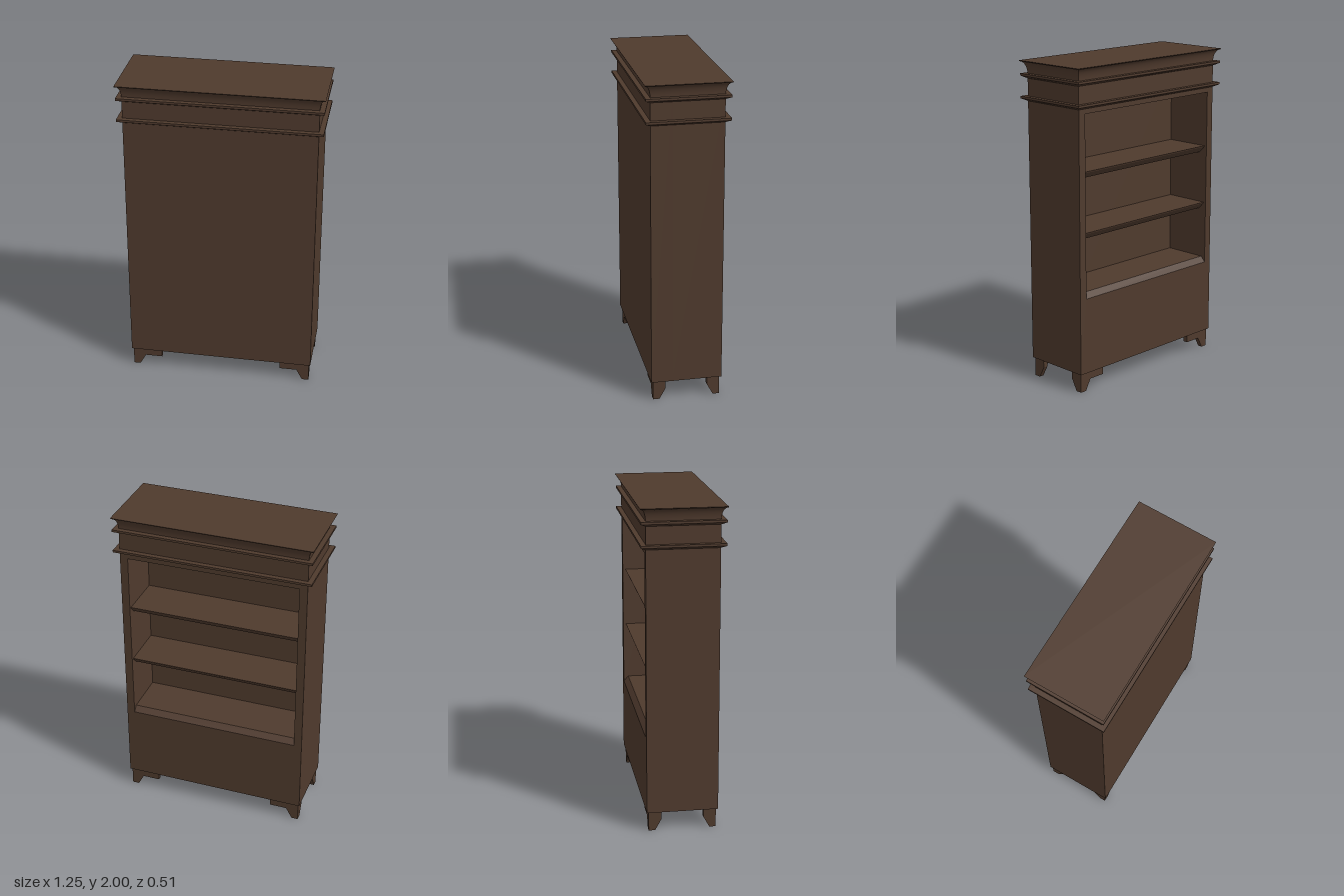
import * as THREE from 'three';
import { toCreasedNormals } from 'three/addons/utils/BufferGeometryUtils.js';

const wood = new THREE.MeshStandardMaterial({ color: 0x4f3a2d });
wood.name = 'dark walnut';

const HX = 0.59, HZ = 0.22;            // half width and half depth of the carcass
const BASE = 0.12, TOP = 1.92;         // carcass bottom and top
const OPEN_X = 0.54, OPEN_Z = 0.09;    // half width of the recess, and its inner wall

function shapeOf(points) {
  return new THREE.Shape(points.map(([x, y]) => new THREE.Vector2(x, y)));
}

// Extrusion centred on its own axis
function slab(shape, depth) {
  return new THREE.ExtrudeGeometry(shape, { depth, bevelEnabled: false }).translate(0, 0, -depth / 2);
}

// Profile given as [z, y], extruded along x
function alongX(points, length) {
  return slab(shapeOf(points), length).rotateY(-Math.PI / 2);
}

// Rectangular moulding: profile of [offset from the carcass, y], bottom to top
function moulding(profile) {
  const pos = [];
  const corner = ([o, y], i) => {
    const [sx, sz] = [[1, 1], [1, -1], [-1, -1], [-1, 1]][i % 4];
    return [sx * (HX + o), y, sz * (HZ + o)];
  };
  const quad = (a, b, c, d) => pos.push(...a, ...b, ...c, ...a, ...c, ...d);
  for (let k = 0; k < profile.length - 1; k++) {
    const p = profile[k], q = profile[k + 1];
    for (let i = 0; i < 4; i++) quad(corner(p, i), corner(p, i + 1), corner(q, i + 1), corner(q, i));
  }
  const first = profile[0], last = profile[profile.length - 1];
  quad(corner(last, 0), corner(last, 1), corner(last, 2), corner(last, 3));
  quad(corner(first, 3), corner(first, 2), corner(first, 1), corner(first, 0));
  const g = new THREE.BufferGeometry();
  g.setAttribute('position', new THREE.Float32BufferAttribute(pos, 3));
  return toCreasedNormals(g, 0.5);
}

export function createModel() {
  const model = new THREE.Group();
  model.name = 'bookcase';
  const add = (name, geometry, parent = model) => {
    const mesh = new THREE.Mesh(geometry, wood);
    mesh.name = name;
    parent.add(mesh);
    return mesh;
  };

  // Carcass frame with the shelf opening towards -z
  const frame = shapeOf([[-HX, BASE], [HX, BASE], [HX, TOP], [-HX, TOP]]);
  frame.holes.push(new THREE.Path([
    [-OPEN_X, 0.595], [-OPEN_X, 1.725], [OPEN_X, 1.725], [OPEN_X, 0.595],
  ].map(([x, y]) => new THREE.Vector2(x, y))));
  add('carcassFrame', slab(frame, HZ + OPEN_Z)).position.z = (OPEN_Z - HZ) / 2;

  // Closed panel behind the shelves
  add('closedPanel', new THREE.BoxGeometry(2 * HX, TOP - BASE, HZ - OPEN_Z))
    .position.set(0, (TOP + BASE) / 2, (HZ + OPEN_Z) / 2);

  // Recess floor with a sloping lip, and two shelves bevelled underneath
  add('recessFloor', alongX([[OPEN_Z, 0.595], [OPEN_Z, 0.63], [-0.19, 0.63], [-HZ, 0.596], [-HZ, 0.595]], 2 * OPEN_X));
  for (const y of [1.0, 1.375]) {
    add('shelf', alongX([
      [OPEN_Z, y], [-0.203, y], [-0.2, y - 0.008], [-0.165, y - 0.045], [OPEN_Z, y - 0.045],
    ], 2 * OPEN_X));
  }

  // Two projecting bands
  for (const y of [1.755, 1.892]) {
    add('bandMoulding', moulding([[0, y], [0.031, y + 0.016], [0.031, y + 0.03], [0, y + 0.03]]));
  }

  // Concave crown, swept as a quarter cove
  const cove = [];
  for (let i = 0; i <= 8; i++) {
    const a = (i / 8) * Math.PI / 2;
    cove.push([0.033 * (1 - Math.cos(a)), 1.92 + 0.074 * Math.sin(a)]);
  }
  cove.push([0.036, 2]);
  add('crown', moulding(cove));

  // Corner bracket feet, each with a long wing and a short side wing
  const T = 0.03, FX = 0.58, FZ = 0.208;
  for (const sx of [-1, 1]) {
    for (const sz of [-1, 1]) {
      const foot = new THREE.Group();
      foot.name = (sz > 0 ? 'front' : 'back') + (sx > 0 ? 'Left' : 'Right') + 'Foot';
      const wide = [[FX, 0], [FX, BASE], [0.39, BASE], [0.39, 0.07], [0.5, 0.07], [0.538, 0]];
      const narrow = [[FZ, 0], [FZ, BASE], [0.13, BASE], [0.13, 0.07], [0.168, 0]];
      add('longWing', slab(shapeOf(wide.map(([x, y]) => [sx * x, y])), T), foot)
        .position.z = sz * (FZ - T / 2);
      add('sideWing', alongX(narrow.map(([z, y]) => [sz * z, y]), T), foot)
        .position.x = sx * (FX - T / 2);
      model.add(foot);
    }
  }
  return model;
}
